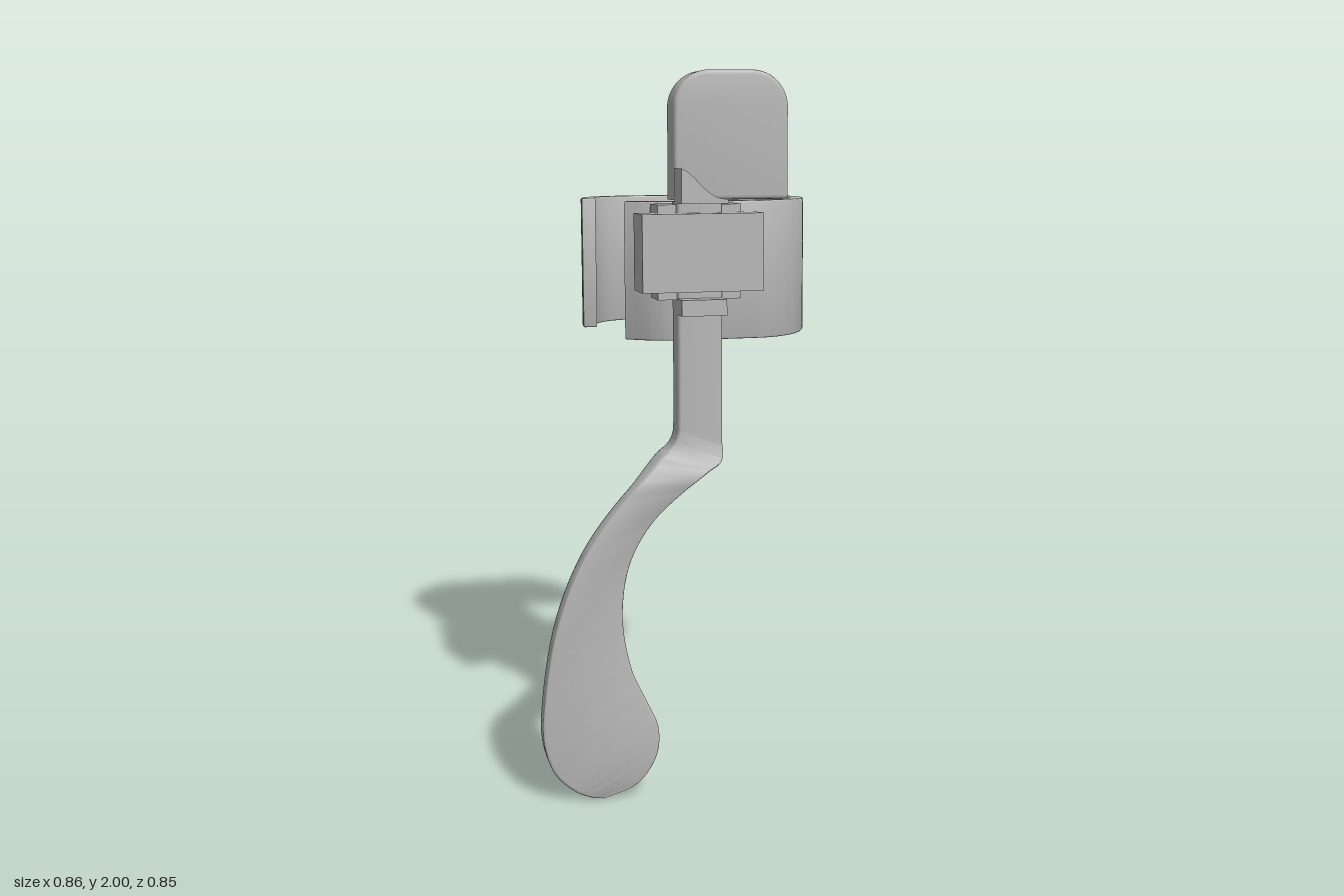
import * as THREE from 'three';
import { toCreasedNormals } from 'three/addons/utils/BufferGeometryUtils.js';

const TILT = 0.037;    // the whole piece leans slightly back
const PIVOT = 1.45;

export function createModel() {
  const model = new THREE.Group();
  model.name = 'clampWithLever';
  const body = new THREE.Group();
  body.name = 'tiltedBody';
  body.rotation.x = -TILT;
  body.position.set(0, PIVOT * (1 - Math.cos(TILT)), PIVOT * Math.sin(TILT));
  model.add(body);

  const grey = new THREE.MeshStandardMaterial({ color: 0xb6b6b6 });
  grey.name = 'plainGrey';

  const add = (name, geometry) => {
    const mesh = new THREE.Mesh(geometry, grey);
    mesh.name = name;
    body.add(mesh);
    return mesh;
  };
  // Box given by its lower and upper limits
  const box = (name, x0, x1, y0, y1, z0, z1) =>
    add(name, new THREE.BoxGeometry(x1 - x0, y1 - y0, z1 - z0)
      .translate((x0 + x1) / 2, (y0 + y1) / 2, (z0 + z1) / 2));
  // Extrusion of exact total depth with softened edges, starting at z = 0
  const softExtrude = (shape, depth, b) =>
    toCreasedNormals(new THREE.ExtrudeGeometry(shape, {
      depth: depth - 2 * b, bevelEnabled: b > 0, bevelThickness: b, bevelSize: b,
      bevelOffset: -b, bevelSegments: 3, curveSegments: 14,
    }).translate(0, 0, b), 0.6);

  // Open band: centre line in plan, thickened to both sides
  const v = (x, y) => new THREE.Vector2(x, y);
  const line = new THREE.CurvePath();
  const bezier = (...p) => line.add(new THREE.CubicBezierCurve(...p));
  bezier(v(-0.19, -0.185), v(-0.19, -0.31), v(-0.11, -0.397), v(-0.01, -0.397));
  line.add(new THREE.LineCurve(v(-0.01, -0.397), v(0.21, -0.397)));
  bezier(v(0.21, -0.397), v(0.31, -0.397), v(0.407, -0.23), v(0.407, -0.095));
  bezier(v(0.407, -0.095), v(0.407, 0.04), v(0.33, 0.202), v(0.21, 0.202));
  line.add(new THREE.LineCurve(v(0.21, 0.202), v(-0.02, 0.202)));
  bezier(v(-0.02, 0.202), v(-0.07, 0.202), v(-0.105, 0.163), v(-0.137, 0.14));
  const mid = line.getPoints(24);
  const side = (offset) => mid.map((p, i) => {
    const t = mid[Math.min(i + 1, mid.length - 1)].clone().sub(mid[Math.max(i - 1, 0)]).normalize();
    return v(p.x + t.y * offset, p.y - t.x * offset);
  });
  const bandShape = new THREE.Shape([...side(0.02), ...side(-0.02).reverse()]);
  add('band', softExtrude(bandShape, 0.385, 0.004).rotateX(Math.PI / 2).translate(0, 1.641, 0));

  // Upright pad with rounded top corners
  const pad = new THREE.Shape();
  pad.moveTo(-0.035, 1.646);
  pad.lineTo(0.285, 1.646);
  pad.lineTo(0.285, 1.893);
  pad.absarc(0.185, 1.893, 0.1, 0, Math.PI / 2, false);
  pad.lineTo(0.065, 1.993);
  pad.absarc(0.065, 1.893, 0.1, Math.PI / 2, Math.PI, false);
  pad.closePath();
  add('pad', softExtrude(pad, 0.1, 0.012).translate(0, 0, 0.194));

  // Clip holding the lever
  box('clipBlock', -0.14, 0.195, 1.402, 1.612, 0.25, 0.367);
  box('clipPlate', -0.087, 0.145, 1.378, 1.635, 0.215, 0.312);

  // Stops above and below the clip
  box('lowerStop', -0.035, 0.09, 1.338, 1.382, 0.3, 0.376);
  const wedge = new THREE.Shape();
  wedge.moveTo(-0.035, 1.638);
  wedge.lineTo(0.093, 1.638);
  wedge.lineTo(0.093, 1.65);
  wedge.bezierCurveTo(0.03, 1.65, 0.01, 1.715, -0.035, 1.732);
  wedge.closePath();
  add('upperStop', softExtrude(wedge, 0.086, 0).translate(0, 0, 0.291));

  // Lever: lofted between its left and right outlines, ending in a paddle
  const leftEdge = [[-0.035, 1.655], [-0.035, 1.05], [-0.037, 1.02], [-0.05, 0.99], [-0.09, 0.955],
    [-0.2, 0.85], [-0.31, 0.7], [-0.385, 0.52], [-0.425, 0.31], [-0.43, 0.18], [-0.4, 0.087],
    [-0.345, 0.033], [-0.315, 0.018], [-0.29, 0.01], [-0.265, 0.008]];
  const rightEdge = [[0.09, 1.655], [0.09, 1.0], [0.09, 0.96], [0.08, 0.94], [0.045, 0.92],
    [-0.035, 0.865], [-0.125, 0.78], [-0.185, 0.67], [-0.205, 0.52], [-0.18, 0.37], [-0.14, 0.28],
    [-0.107, 0.2], [-0.113, 0.12], [-0.165, 0.045], [-0.265, 0.008]];
  const spline = (pts) => new THREE.CatmullRomCurve3(pts.map(([x, y]) => new THREE.Vector3(x, y, 0)));
  const L = spline(leftEdge), R = spline(rightEdge);
  const { lerp, smoothstep } = THREE.MathUtils;
  const frontZ = (y) => lerp(0.372, 0.325, smoothstep(y, 0.89, 0.99));
  const backZ = (y) => lerp(0.303, 0.237, smoothstep(y, 0.87, 0.97));

  // Half of the section: inset from the edge and depth from the front or back face
  const half = [];
  for (const [r, back] of [[0.008, false], [0.02, true]])
    for (let i = 0; i <= 3; i++) {
      const a = (i / 3) * Math.PI / 2;
      half.push(back
        ? { inset: r * (1 - Math.cos(a)), depth: r * (1 - Math.sin(a)), back }
        : { inset: r * (1 - Math.sin(a)), depth: r * (1 - Math.cos(a)), back });
    }
  const ROWS = 84, K = half.length * 2;
  const pos = [], idx = [];
  for (let i = 0; i <= ROWS; i++) {
    const l = L.getPoint(i / ROWS), r = R.getPoint(i / ROWS);
    const width = l.distanceTo(r);
    const put = (from, to, h) => {
      const k = width > 1e-5 ? Math.min(h.inset / width, 0.3) : 0;
      const p = from.clone().lerp(to, k);
      pos.push(p.x, p.y, h.back ? backZ(p.y) + h.depth : frontZ(p.y) - h.depth);
    };
    half.forEach((h) => put(r, l, h));
    [...half].reverse().forEach((h) => put(l, r, h));
  }
  for (let i = 0; i < ROWS; i++)
    for (let k = 0; k < K; k++) {
      const a = i * K + k, b = i * K + (k + 1) % K;
      idx.push(a, a + K, b, b, a + K, b + K);
    }
  for (let k = 1; k < K - 1; k++) idx.push(0, k, k + 1);
  const lever = new THREE.BufferGeometry();
  lever.setAttribute('position', new THREE.Float32BufferAttribute(pos, 3));
  lever.setIndex(idx);
  add('lever', toCreasedNormals(lever, 0.7)).position.y = -0.013;

  // Round disc set into the back of the paddle
  add('paddleDisc', toCreasedNormals(new THREE.CylinderGeometry(0.122, 0.122, 0.02, 48), 0.6)
    .rotateX(Math.PI / 2).translate(-0.262, 0.154, 0.306));

  return model;
}
